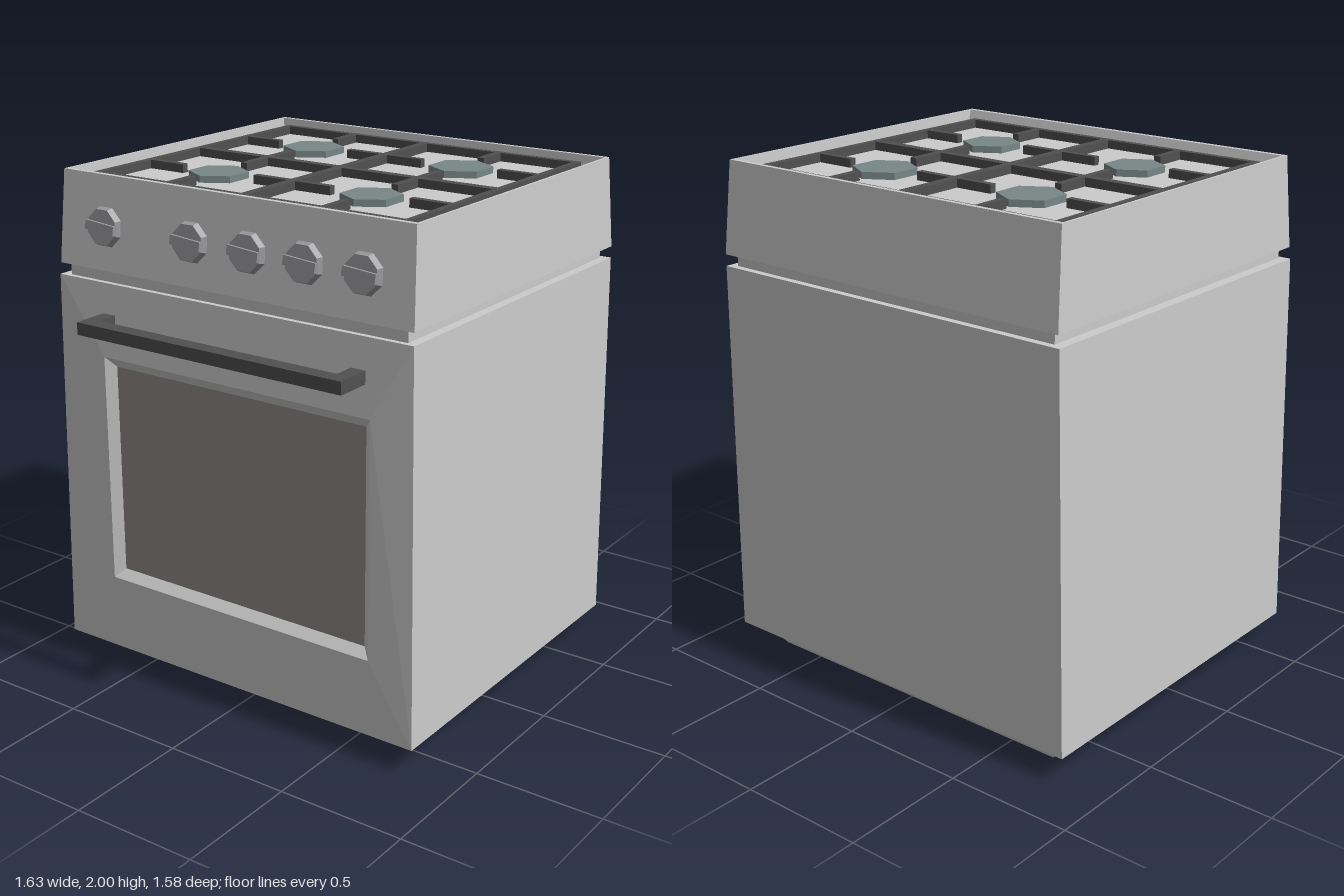
import * as THREE from 'three';

const mat = (color) => new THREE.MeshStandardMaterial({ color, flatShading: true });
const steel = mat(0xcccccc);
const iron = mat(0x505050);
const burnerMat = mat(0x788787);
const glassMat = mat(0x958f8d);
const knobMat = mat(0x99999d);

// Four-cornered rings, counter-clockwise seen from the end of the loft
const ringY = (y, x, z0, z1) => [[-x, y, z1], [x, y, z1], [x, y, z0], [-x, y, z0]];
const ringZ = (x0, x1, y0, y1, z0, z1 = z0) => [[x0, y0, z0], [x1, y0, z0], [x1, y1, z1], [x0, y1, z1]];

// Flat-faced skin through the rings, with optional end caps
function loft(rings, capStart = true, capEnd = true) {
  const pos = [];
  const quad = (a, b, c, d) => pos.push(...a, ...b, ...c, ...a, ...c, ...d);
  for (let k = 0; k < rings.length - 1; k++) {
    for (let i = 0; i < 4; i++) {
      const j = (i + 1) % 4;
      quad(rings[k][i], rings[k][j], rings[k + 1][j], rings[k + 1][i]);
    }
  }
  if (capStart) quad(...[...rings[0]].reverse());
  if (capEnd) quad(...rings[rings.length - 1]);
  const g = new THREE.BufferGeometry();
  g.setAttribute('position', new THREE.Float32BufferAttribute(pos, 3));
  g.computeVertexNormals();
  return g;
}

function add(parent, name, geometry, material) {
  const mesh = new THREE.Mesh(geometry, material);
  mesh.name = name;
  parent.add(mesh);
  return mesh;
}

function subgroup(parent, name) {
  const g = new THREE.Group();
  g.name = name;
  parent.add(g);
  return g;
}

// Box given by its limits on each axis
function block(parent, name, [x0, x1], [y0, y1], [z0, z1], material) {
  const mesh = add(parent, name, new THREE.BoxGeometry(x1 - x0, y1 - y0, z1 - z0), material);
  mesh.position.set((x0 + x1) / 2, (y0 + y1) / 2, (z0 + z1) / 2);
  return mesh;
}

export function createModel() {
  const cooker = new THREE.Group();
  cooker.name = 'cooker';

  // Tapered plinth
  add(cooker, 'plinth', loft([ringY(0, 0.69, -0.67, 0.455), ringY(0.1, 0.77, -0.74, 0.525)]), steel);

  // Oven body: slightly narrower at the top, front swelling to a sunk window
  const trapezoid = (z0, z1) => [[-0.82, 0.1, z0], [0.815, 0.1, z0], [0.79, 1.6, z1], [-0.795, 1.6, z1]];
  const windowRing = ringZ(-0.54, 0.595, 0.44, 1.275, 0.625);
  add(cooker, 'ovenBody', loft([
    trapezoid(-0.787, -0.787),
    trapezoid(0.648, 0.64),
    ringZ(-0.575, 0.63, 0.405, 1.315, 0.656),
    windowRing,
  ], true, false), steel);
  add(cooker, 'ovenWindow', loft([windowRing], false, true), glassMat);

  // Recessed band between oven and hob
  add(cooker, 'neck', loft([ringY(1.59, 0.755, -0.76, 0.62), ringY(1.65, 0.755, -0.76, 0.62)]), steel);

  // Control housing with a sunken hob tray
  const floorY = 1.948;
  add(cooker, 'controlHousing', loft([
    ringY(1.645, 0.79, -0.787, 0.638),
    ringY(2, 0.775, -0.753, 0.61),
    ringY(2, 0.765, -0.735, 0.59),
    ringY(floorY, 0.762, -0.732, 0.573),
  ]), steel);

  // Oven handle
  const handle = subgroup(cooker, 'ovenHandle');
  const hy = [1.435, 1.483];
  block(handle, 'handleBar', [-0.577, 0.605], hy, [0.728, 0.79], iron);
  block(handle, 'handlePostRight', [-0.577, -0.52], hy, [0.63, 0.728], iron);
  block(handle, 'handlePostLeft', [0.545, 0.605], hy, [0.63, 0.728], iron);

  // Control knobs, square to the sloping panel
  for (const x of [-0.565, -0.16, 0.097, 0.34, 0.583]) {
    const knob = subgroup(cooker, 'knob');
    knob.position.set(x, 1.81, 0.624);
    knob.rotation.x = -0.085;
    const disc = add(knob, 'knobDisc', new THREE.CylinderGeometry(0.07, 0.08, 0.03, 8), knobMat);
    disc.rotation.set(Math.PI / 2, Math.PI / 8, 0);
    disc.position.z = 0.011;
    const grip = add(knob, 'knobGrip', new THREE.BoxGeometry(0.135, 0.035, 0.02), knobMat);
    grip.position.z = 0.029;
    grip.rotation.z = -0.08;
  }

  // Pan support: frame, cross bars and fingers round each burner
  const grate = subgroup(cooker, 'panSupport');
  const gy = [floorY, 1.981];
  const barX = (x0, x1, z, w) => block(grate, 'grateBar', [x0, x1], gy, [z - w / 2, z + w / 2], iron);
  const barZ = (z0, z1, x, w) => block(grate, 'grateBar', [x - w / 2, x + w / 2], gy, [z0, z1], iron);
  for (const [z, w] of [[-0.682, 0.026], [-0.085, 0.036], [0.512, 0.026]]) barX(-0.71, 0.687, z, w);
  for (const [x, w] of [[-0.697, 0.026], [-0.012, 0.036], [0.674, 0.026]]) barZ(-0.695, 0.525, x, w);
  for (const z of [-0.39, 0.216]) {
    for (const [x0, x1] of [[-0.69, -0.523], [-0.185, 0.162], [0.5, 0.67]]) barX(x0, x1, z, 0.027);
  }
  for (const x of [-0.357, 0.333]) {
    for (const [z0, z1] of [[-0.68, -0.54], [-0.238, 0.067], [0.367, 0.51]]) barZ(z0, z1, x, 0.029);
  }

  // Six-sided burners
  for (const x of [-0.36, 0.333]) {
    for (const [z, r] of [[-0.392, 0.123], [0.216, 0.114]]) {
      const burner = add(cooker, 'burner', new THREE.CylinderGeometry(r, r, 0.026, 6), burnerMat);
      burner.position.set(x, floorY + 0.013, z);
    }
  }

  return cooker;
}
